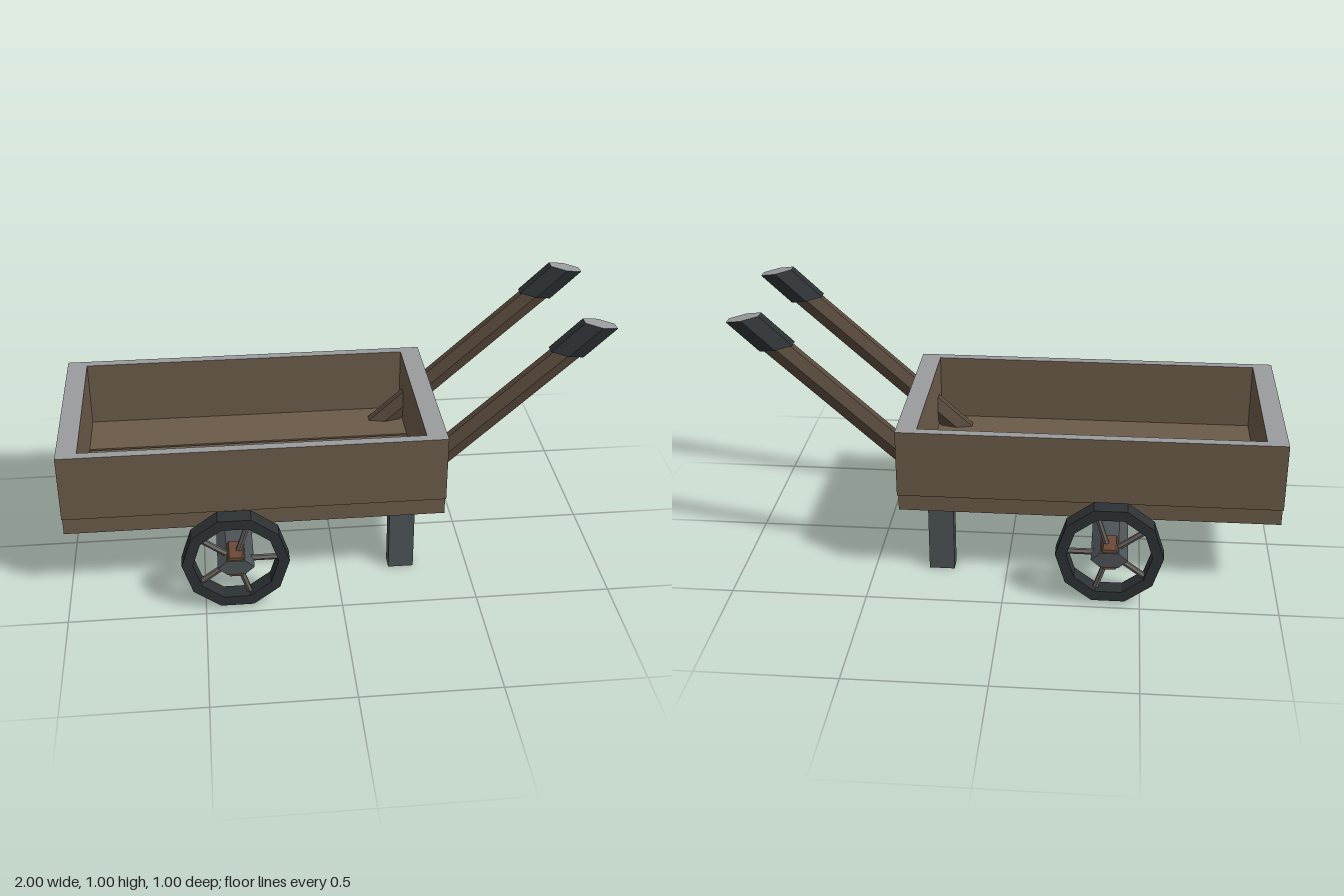
import * as THREE from 'three';

const mat = (color) => new THREE.MeshStandardMaterial({ color, flatShading: true });

export function createModel() {
  const model = new THREE.Group();
  const wood = mat(0x6a5a48), shaftWood = mat(0x57483a), hubWood = mat(0x6b4a36);
  const rim = mat(0x999b9c), metal = mat(0x4c5256), dark = mat(0x2c3134), spokeMetal = mat(0x66615e);

  const add = (name, geometry, material, parent = model) => {
    const mesh = new THREE.Mesh(geometry, material);
    mesh.name = name;
    parent.add(mesh);
    return mesh;
  };

  // Box given by its extents on each axis
  const box = (name, [x0, x1], [y0, y1], [z0, z1], material) => {
    const mesh = add(name, new THREE.BoxGeometry(x1 - x0, y1 - y0, z1 - z0), material);
    mesh.position.set((x0 + x1) / 2, (y0 + y1) / 2, (z0 + z1) / 2);
  };

  // Slanted hexagonal prism in the xy plane: a, b are end centres, u the cross-section axis
  const prism = (name, a, b, u, rz, z, material, parent) => {
    const g = new THREE.CylinderGeometry(1, 1, 1, 6);
    const m = new THREE.Matrix4().makeBasis(
      new THREE.Vector3(u[0], u[1], 0),
      new THREE.Vector3(b[0] - a[0], b[1] - a[1], 0),
      new THREE.Vector3(0, 0, rz));
    m.setPosition((a[0] + b[0]) / 2, (a[1] + b[1]) / 2, z);
    add(name, g.applyMatrix4(m), material, parent);
  };

  // Hexagonal bar along z, flat on top, with half-width rx and half-height ry
  const hexBar = (name, rx, ry, length, material, parent) => {
    const g = new THREE.CylinderGeometry(1, 1, length, 6);
    g.rotateY(Math.PI / 2).rotateX(Math.PI / 2);
    g.scale(rx, ry / Math.cos(Math.PI / 6), 1);
    return add(name, g, material, parent);
  };

  // Floor planks
  for (const z of [-0.226, 0.004, 0.234])
    box('floorPlank', [-1, 0.395], [0.28, 0.355], [z - 0.11, z + 0.11], wood);

  // Tray walls with a pale top edge
  const wallMats = [wood, wood, rim, wood, wood, wood];
  const wallY = [0.355, 0.61];
  box('leftEndWall', [0.32, 0.395], wallY, [-0.33, 0.33], wallMats);
  box('rightEndWall', [-1, -0.925], wallY, [-0.33, 0.33], wallMats);
  box('frontWall', [-1, 0.395], wallY, [0.33, 0.365], wallMats);
  box('backWall', [-1, 0.395], wallY, [-0.365, -0.33], wallMats);

  // Legs and handles, one pair on each side
  for (const s of [1, -1]) {
    const z = 0.25 * s;
    box('leg', [0.2, 0.295], [0, 0.285], [z - 0.029, z + 0.029], metal);

    const handle = new THREE.Group();
    handle.name = 'handle';
    model.add(handle);
    prism('handleShaft', [0.23, 0.34], [0.85, 0.902], [0.057, -0.013], 0.032, z, shaftWood, handle);
    prism('handleGrip', [0.826, 0.879], [0.94, 0.987], [0.069, -0.0155], 0.039, z, [dark, rim, dark], handle);
  }

  // Axle
  const cx = -0.385, cy = 0.199;
  hexBar('axle', 0.066, 0.029, 1, metal).position.set(cx, cy, 0);

  // Wheels: ten-sided tyre, five spokes and a hub
  const ring = (r, Type) => new Type(Array.from({ length: 10 }, (_, i) =>
    new THREE.Vector2(r * Math.cos(i * Math.PI / 5), r * Math.sin(i * Math.PI / 5))));
  const tyreShape = ring(0.195, THREE.Shape);
  tyreShape.holes.push(ring(0.155, THREE.Path));
  const tyre = new THREE.ExtrudeGeometry(tyreShape, { depth: 0.065, bevelEnabled: false });
  tyre.translate(0, 0, -0.0325);
  const spoke = new THREE.CylinderGeometry(0.011, 0.011, 0.15, 6).translate(0, 0.085, 0);

  for (const s of [1, -1]) {
    const wheel = new THREE.Group();
    wheel.name = 'wheel';
    wheel.position.set(cx, cy, 0.4425 * s);
    model.add(wheel);
    add('tyre', tyre, dark, wheel);
    hexBar('hub', 0.046, 0.04, 0.105, hubWood, wheel);
    for (let i = 0; i < 5; i++)
      add('spoke', spoke, spokeMetal, wheel).rotation.z = -Math.PI / 2 + i * Math.PI * 2 / 5;
  }
  return model;
}
